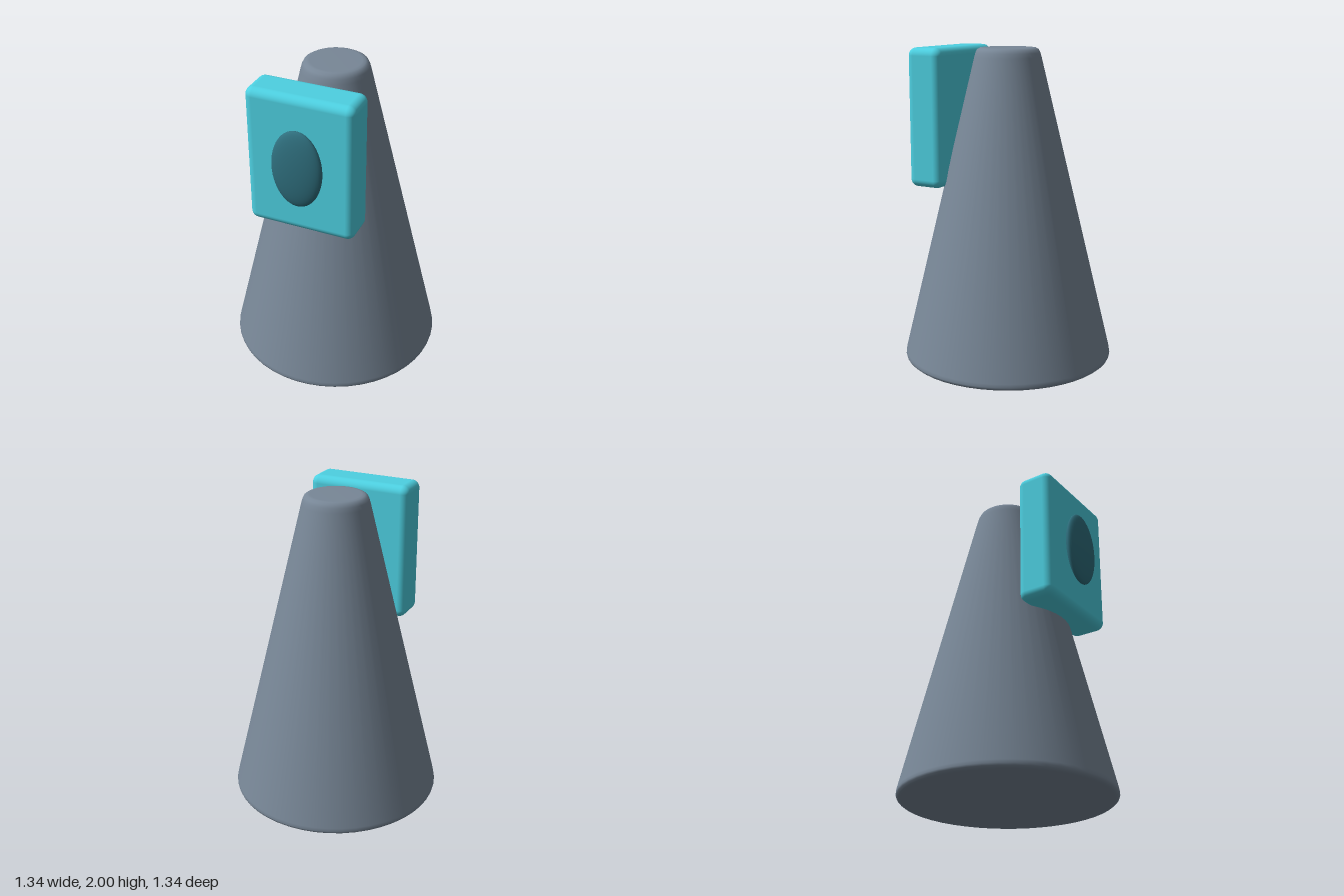
import * as THREE from 'three';
import { RoundedBoxGeometry } from 'three/addons/geometries/RoundedBoxGeometry.js';

function addPart(group, name, geometry, color, x = 0, y = 0, z = 0) {
  const mesh = new THREE.Mesh(geometry, new THREE.MeshStandardMaterial({ color }));
  mesh.name = name;
  mesh.position.set(x, y, z);
  group.add(mesh);
  return mesh;
}

export function createModel() {
  const model = new THREE.Group();
  model.name = 'coneWithPanel';

  // Tapered body with softened rims, turned from a profile
  const profile = [
    [0, 0], [0.64, 0], [0.655, 0.002], [0.667, 0.012], [0.671, 0.025], [0.668, 0.045],
    [0.21, 1.94], [0.202, 1.968], [0.192, 1.988], [0.175, 1.998], [0.155, 2], [0, 2],
  ].map(([r, y]) => new THREE.Vector2(r, y));
  addPart(model, 'coneBody', new THREE.LatheGeometry(profile, 48), 0x788797);

  // Rounded panel on the upper front
  addPart(model, 'panel', new RoundedBoxGeometry(0.672, 0.876, 0.236, 5, 0.05), 0x4dd0e1, 0, 1.562, 0.42);

  // Flattened oval lens set into the panel
  const lens = new THREE.SphereGeometry(1, 40, 24).scale(0.158, 0.248, 0.048);
  addPart(model, 'lens', lens, 0x2f6f7e, 0, 1.563, 0.562);

  return model;
}
